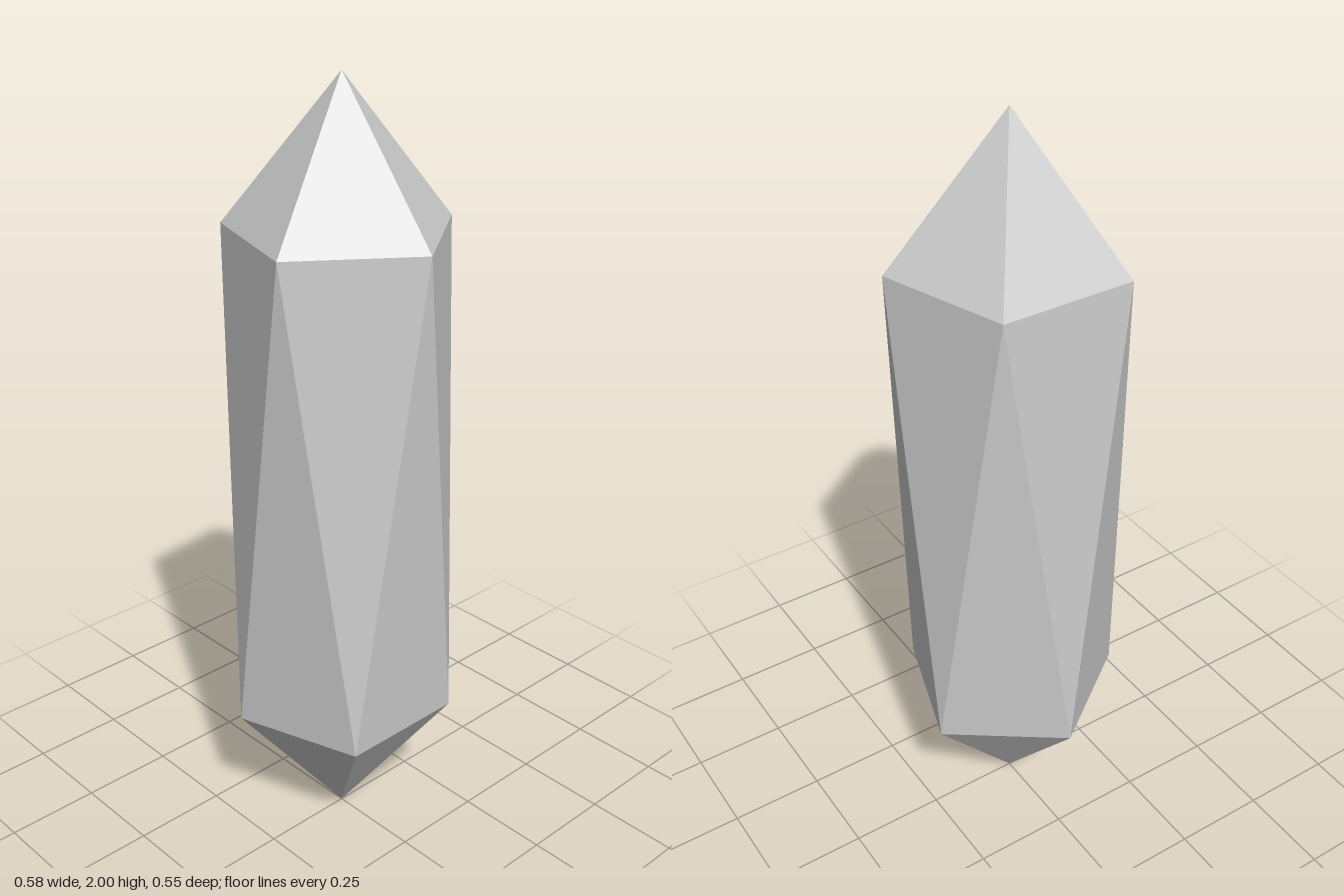
import * as THREE from 'three';

const SIDES = 5, RADIUS = 0.29;

// Ring of points at height y, turned by a fraction of one side
function ring(y, turn) {
  return Array.from({ length: SIDES }, (_, i) => {
    const a = ((i + turn) / SIDES) * Math.PI * 2;
    return new THREE.Vector3(RADIUS * Math.cos(a), y, RADIUS * Math.sin(a));
  });
}

export function createModel() {
  const group = new THREE.Group();
  group.name = 'crystal';

  // Two staggered pentagons between a top and a bottom point
  const top = new THREE.Vector3(0, 2, 0);
  const bottom = new THREE.Vector3(0, 0, 0);
  const upper = ring(1.64, 0);
  const lower = ring(0.36, 0.5);

  const corners = [];
  for (let i = 0; i < SIDES; i++) {
    const j = (i + 1) % SIDES;
    corners.push(
      top, upper[j], upper[i],         // upper tip
      upper[i], upper[j], lower[i],    // shaft, pointing down
      lower[i], upper[j], lower[j],    // shaft, pointing up
      lower[i], lower[j], bottom       // lower tip
    );
  }

  const geometry = new THREE.BufferGeometry().setFromPoints(corners);
  geometry.computeVertexNormals();
  const material = new THREE.MeshStandardMaterial({ color: 0xcccccc, flatShading: true });
  const gem = new THREE.Mesh(geometry, material);
  gem.name = 'crystalBody';
  group.add(gem);
  return group;
}
